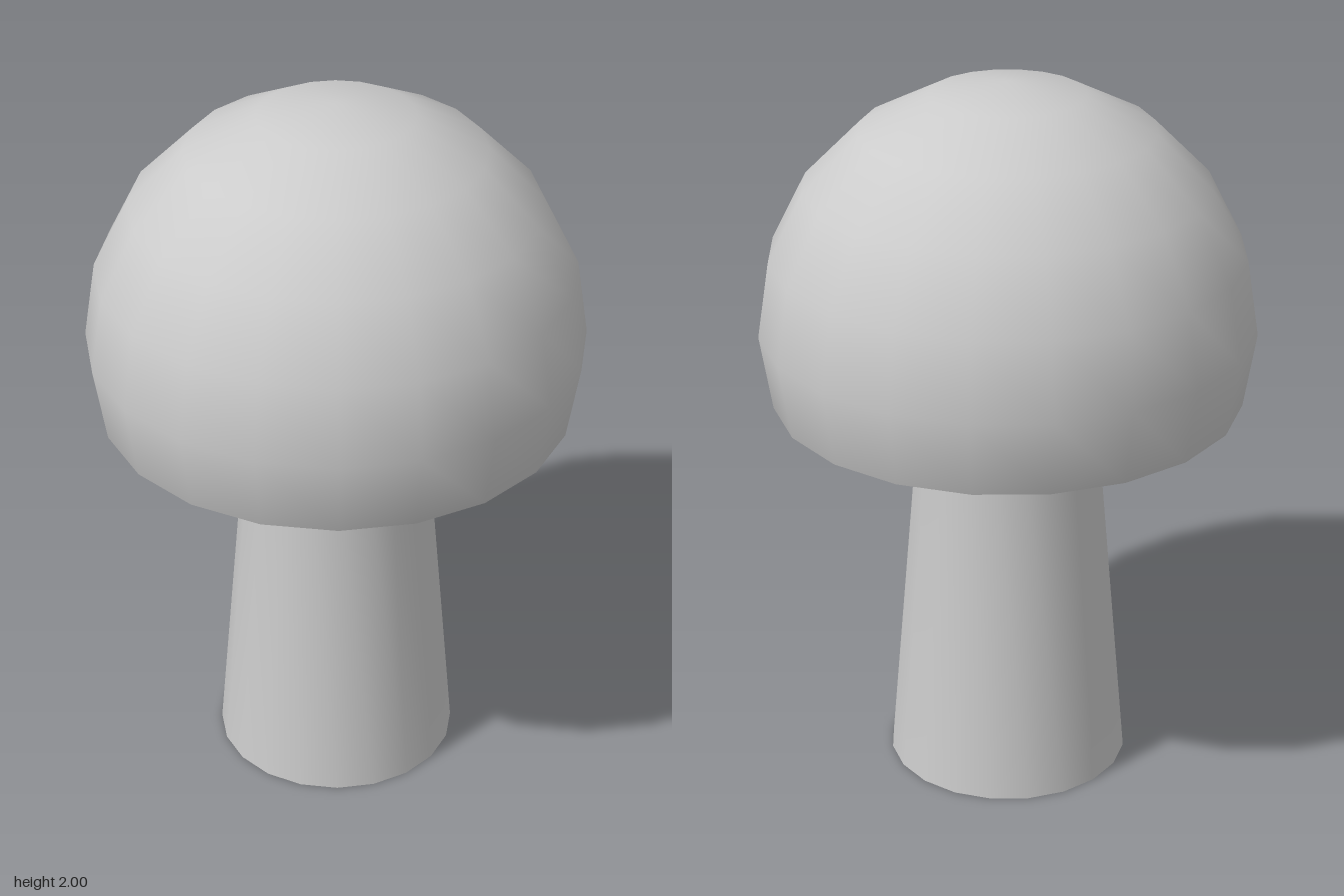
import * as THREE from 'three';

const SIDES = 20;

export function createModel() {
  const group = new THREE.Group();
  const material = new THREE.MeshStandardMaterial({ color: 0xcccccc, side: THREE.DoubleSide });
  const add = (name, geometry, y = 0) => {
    const mesh = new THREE.Mesh(geometry, material);
    mesh.name = name;
    mesh.position.y = y;
    group.add(mesh);
    return mesh;
  };

  // Open dome, reaching a little below its equator
  add('cap', new THREE.SphereGeometry(0.68, SIDES, 6, 0, Math.PI * 2, 0, Math.PI * 0.6), 1.32);

  // Tapered stem flaring out into the underside of the cap
  const profile = [[0.34, 0], [0.25, 1.04], [0.3, 1.18], [0.667, 1.4]];
  add('stemAndUnderside', new THREE.LatheGeometry(profile.map(([r, y]) => new THREE.Vector2(r, y)), SIDES));

  // Flat foot of the stem
  add('stemBase', new THREE.CircleGeometry(0.34, SIDES).rotateX(Math.PI / 2));

  return group;
}
